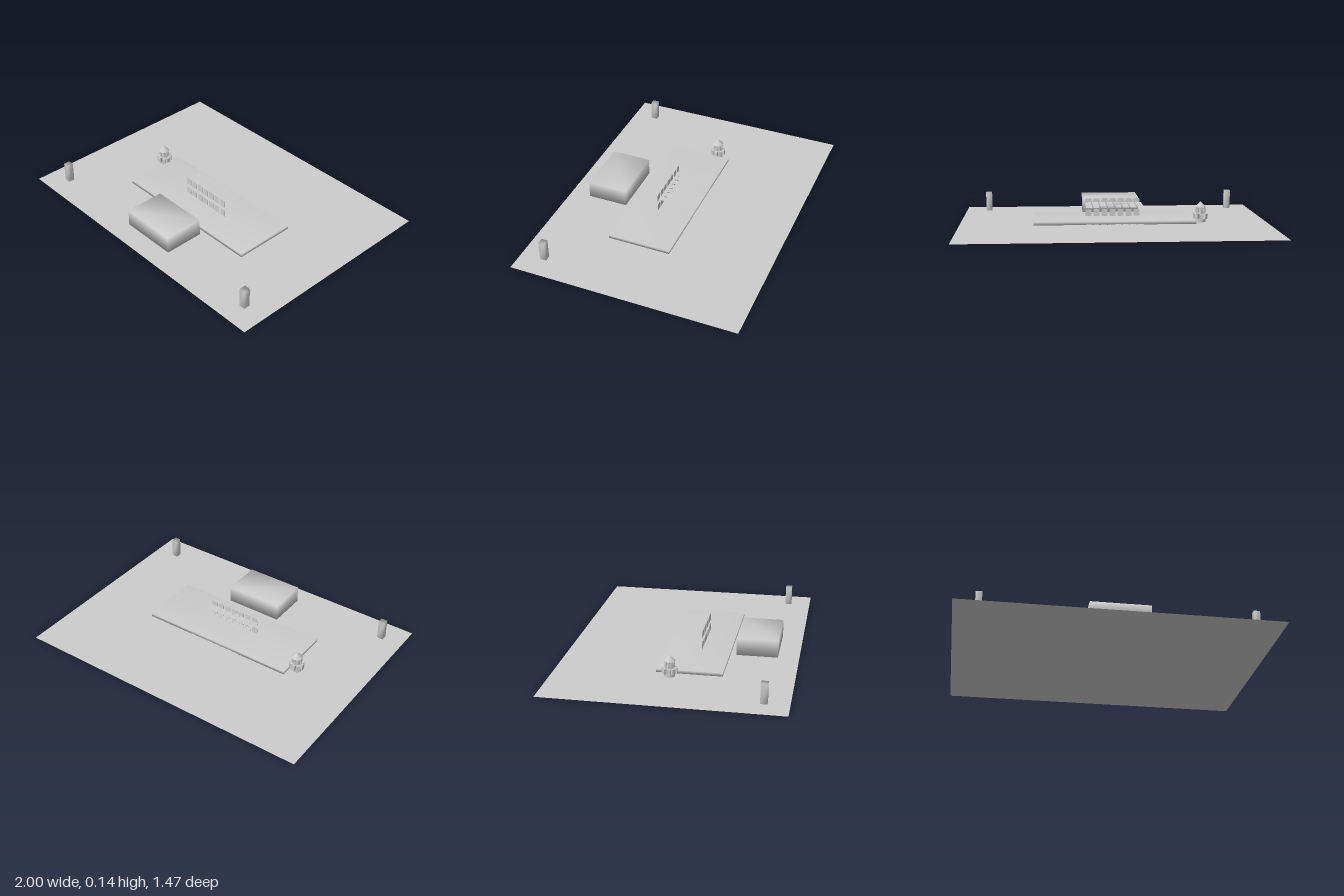
import * as THREE from 'three';
import { mergeVertices } from 'three/addons/utils/BufferGeometryUtils.js';

export function createModel() {
  const model = new THREE.Group();
  const stone = new THREE.MeshStandardMaterial({ color: 0xcccccc, side: THREE.DoubleSide });
  stone.name = 'pale grey stone';

  function add(name, geometry, x, y, z, parent = model) {
    const mesh = new THREE.Mesh(geometry, stone);
    mesh.name = name;
    mesh.position.set(x, y, z);
    parent.add(mesh);
    return mesh;
  }

  // Box with shared corners, so its shading runs smoothly around the edges
  function softBox(w, h, d) {
    let g = new THREE.BoxGeometry(w, h, d);
    g.deleteAttribute('normal');
    g.deleteAttribute('uv');
    g = mergeVertices(g);
    g.computeVertexNormals();
    return g;
  }

  // Ground sheet and raised platform
  add('ground', new THREE.PlaneGeometry(2, 1.47).rotateX(-Math.PI / 2), 0, 0, 0);
  add('platform', softBox(1.055, 0.022, 0.41), -0.003, 0.012, 0.095);

  // Main block and the two gate posts
  add('block', softBox(0.38, 0.112, 0.262), 0, 0.061, 0.47);
  for (const x of [-0.85, 0.845]) add('gatePost', softBox(0.04, 0.129, 0.042), x, 0.0655, 0.584);

  // Roof and floor panels laid out as a grid with narrow gaps
  const panels = new THREE.Group();
  panels.name = 'panelGrid';
  model.add(panels);
  const cols = 8, rows = 4, dx = 0.38 / cols, dz = 0.26 / rows;
  const panel = new THREE.PlaneGeometry(dx - 0.007, dz - 0.007).rotateX(-Math.PI / 2);
  for (let i = 0; i < cols; i++) {
    for (let j = 0; j < rows; j++) {
      const x = (i - (cols - 1) / 2) * dx, z = -0.02 + (j - (rows - 1) / 2) * dz;
      add('roofPanel', panel, x, 0.118, z, panels);
      add('floorPanel', panel, x, 0.004, z, panels);
    }
  }

  // Two rows of window plates with clipped upper corners
  const outline = new THREE.Shape([
    [-0.02, -0.024], [0.02, -0.024], [0.02, 0.018], [0.014, 0.024], [-0.014, 0.024], [-0.02, 0.018],
  ].map(([x, y]) => new THREE.Vector2(x, y)));
  const plate = new THREE.ExtrudeGeometry(outline, { depth: 0.003, bevelEnabled: false });
  for (const y of [0.045, 0.119]) {
    for (let i = -3; i <= 3; i++) add('windowPlate', plate, i * 0.0535, y, 0.114);
  }

  // Small fountain tower: foot, ring of blocks, ribs and pointed cap
  const tower = new THREE.Group();
  tower.name = 'tower';
  tower.position.set(-0.57, 0, -0.018);
  model.add(tower);
  add('towerFoot', new THREE.CylinderGeometry(0.034, 0.034, 0.03, 8), 0, 0.015, 0, tower);
  add('towerCore', new THREE.CylinderGeometry(0.022, 0.03, 0.08, 8), 0, 0.065, 0, tower);
  add('towerCap', new THREE.ConeGeometry(0.036, 0.036, 12), 0, 0.118, 0, tower);
  for (let i = 0; i < 8; i++) {
    const a = i * Math.PI / 4, s = Math.sin(a), c = Math.cos(a);
    add('ringBlock', new THREE.BoxGeometry(0.022, 0.034, 0.02), s * 0.037, 0.039, c * 0.037, tower).rotation.y = a;
    add('towerRib', new THREE.CylinderGeometry(0.007, 0.004, 0.05, 6), s * 0.027, 0.078, c * 0.027, tower);
  }

  return model;
}
